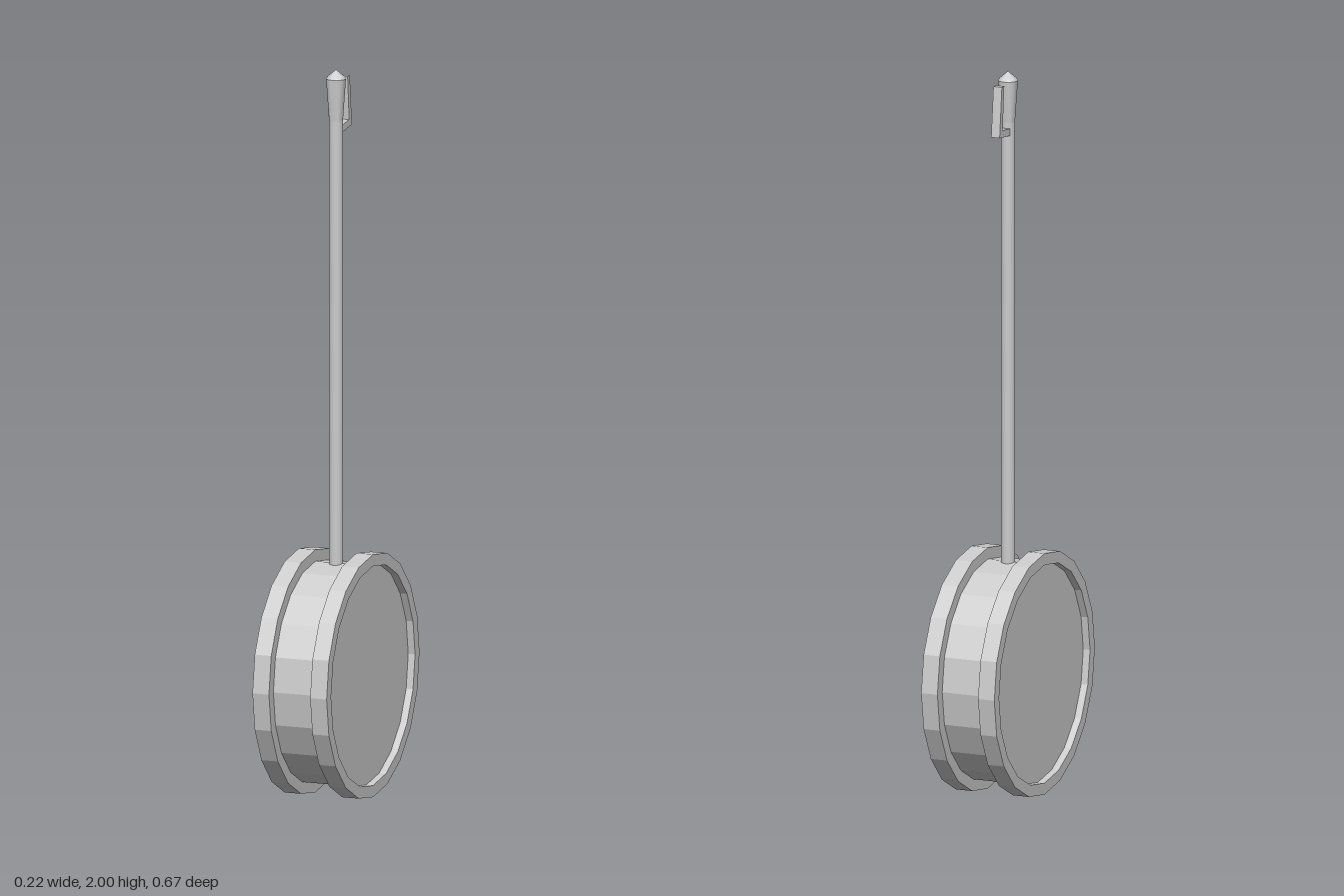
import * as THREE from 'three';
import { toCreasedNormals } from 'three/addons/utils/BufferGeometryUtils.js';

const SIDES = 20;
const CENTRE_Y = 0.335;
const SHELL_R = 0.303;
const HOOP_R = 0.335;

const flat = new THREE.MeshStandardMaterial({ color: 0xcccccc, flatShading: true });
const smooth = new THREE.MeshStandardMaterial({ color: 0xcccccc });

function part(name, geometry, material) {
  const mesh = new THREE.Mesh(geometry, material);
  mesh.name = name;
  return mesh;
}

// Revolve [radius, height] pairs around y
function lathe(points, segments) {
  return new THREE.LatheGeometry(points.map(([r, h]) => new THREE.Vector2(r, h)), segments);
}

export function createModel() {
  const model = new THREE.Group();
  model.name = 'drumOnPole';

  // Drum lying on its side, axis along x
  const drum = new THREE.Group();
  drum.name = 'drum';
  drum.rotation.z = -Math.PI / 2;
  drum.position.y = CENTRE_Y;
  model.add(drum);

  // Shell with both recessed heads
  const head = 0.088;
  drum.add(part('shellAndHeads', lathe([[0, -head], [SHELL_R, -head], [SHELL_R, head], [0, head]], SIDES), flat));

  // A raised hoop at each end
  const hoopProfile = [[SHELL_R, -0.024], [HOOP_R, -0.024], [HOOP_R, 0.024], [SHELL_R, 0.024], [SHELL_R, -0.024]];
  for (const [name, side] of [['leftHoop', 1], ['rightHoop', -1]]) {
    const hoop = part(name, lathe(hoopProfile, SIDES), flat);
    hoop.position.y = side * 0.084;
    drum.add(hoop);
  }

  // Long pole rising from the shell
  const pole = part('pole', new THREE.CylinderGeometry(0.019, 0.019, 1.28, 24), smooth);
  pole.position.y = 1.26;
  model.add(pole);

  // Flared tip with a low pointed cap
  const tip = lathe([[0, 1.86], [0.019, 1.86], [0.027, 1.975], [0.022, 1.982], [0, 2]], 24);
  model.add(part('poleTip', toCreasedNormals(tip, 0.6), smooth));

  // Hooked clip behind the tip: short arm, then a leaning upright
  const outline = new THREE.Shape([
    [0.01, 1.824], [0.084, 1.833], [0.069, 1.971], [0.053, 1.971], [0.064, 1.85], [0.01, 1.844],
  ].map(([u, v]) => new THREE.Vector2(u, v)));
  const clip = new THREE.ExtrudeGeometry(outline, { depth: 0.025, bevelEnabled: false });
  clip.translate(0, 0, -0.0125).rotateY(Math.PI / 2);
  model.add(part('clip', clip, flat));

  return model;
}
